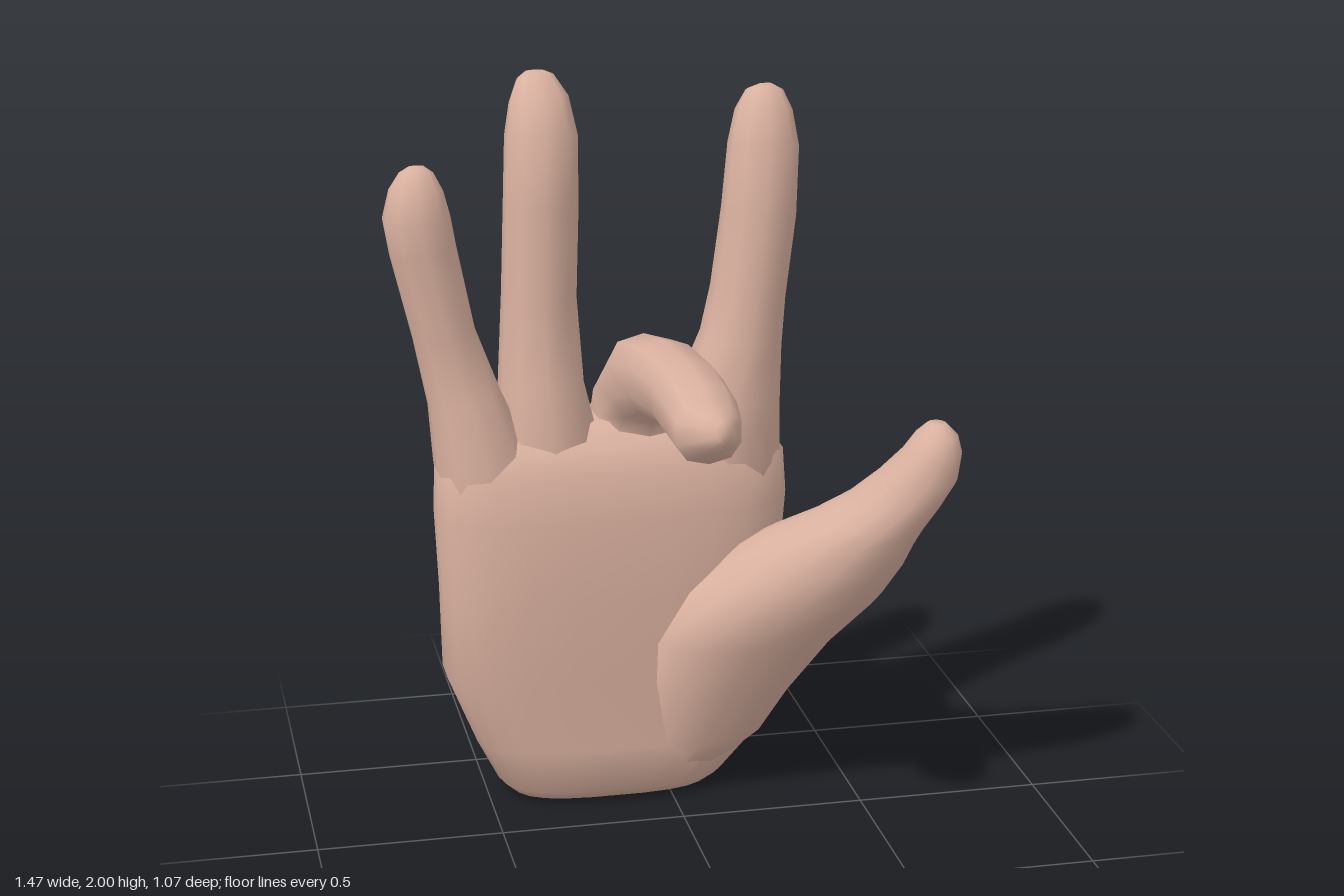
import * as THREE from 'three';
import { toCreasedNormals } from 'three/addons/utils/BufferGeometryUtils.js';

const SKIN = new THREE.MeshStandardMaterial({ color: 0xd9b09f });

// Skin a row of rounded cross-sections [x, y, z, halfWidth, halfDepth, shear].
// upright keeps every section horizontal; power squares the outline off;
// shear moves a section's points forward the further they lie to +x.
function loft(name, rows, { sides = 10, power = 2.4, upright = false } = {}) {
  const centres = rows.map(r => new THREE.Vector3(r[0], r[1], r[2]));
  const pos = [], index = [], last = rows.length - 1;
  const bend = v => Math.sign(v) * Math.abs(v) ** (2 / power);
  rows.forEach(([, , , w, depth, shear = 0], i) => {
    const t = upright ? new THREE.Vector3(0, 1, 0)
      : centres[Math.min(i + 1, last)].clone().sub(centres[Math.max(i - 1, 0)]).normalize();
    const s = new THREE.Vector3(1, 0, 0).addScaledVector(t, -t.x).normalize();
    const d = s.clone().cross(t);
    for (let j = 0; j < sides; j++) {
      const a = (j + 0.5) / sides * Math.PI * 2;
      const u = bend(Math.cos(a)) * w;
      const p = centres[i].clone().addScaledVector(s, u)
        .addScaledVector(d, shear * u - bend(Math.sin(a)) * depth);
      pos.push(p.x, p.y, p.z);
    }
  });
  const n = pos.length / 3;
  for (const c of [centres[0], centres[last]]) pos.push(c.x, c.y, c.z);
  for (let j = 0; j < sides; j++) {
    const k = (j + 1) % sides;
    for (let i = 0; i < last; i++) {
      const a = i * sides + j, b = i * sides + k;
      index.push(a, b, b + sides, a, b + sides, a + sides);
    }
    index.push(n, k, j, n + 1, last * sides + j, last * sides + k);
  }
  const geo = new THREE.BufferGeometry();
  geo.setAttribute('position', new THREE.Float32BufferAttribute(pos, 3));
  geo.setIndex(index);
  const mesh = new THREE.Mesh(toCreasedNormals(geo, 1.25), SKIN);
  mesh.name = name;
  return mesh;
}

export function createModel() {
  const hand = new THREE.Group();
  hand.name = 'hand';

  // Palm, from the cut wrist up to the knuckles, little-finger side forward
  hand.add(loft('palm', [
    [-0.15, 0.00, -0.33, 0.28, 0.155],
    [-0.15, 0.04, -0.33, 0.32, 0.205],
    [-0.12, 0.16, -0.33, 0.41, 0.205, -0.02],
    [-0.14, 0.36, -0.325, 0.47, 0.205, -0.05],
    [-0.14, 0.60, -0.32, 0.475, 0.20, -0.05],
    [-0.135, 0.82, -0.32, 0.49, 0.19, -0.06],
    [-0.135, 0.94, -0.33, 0.485, 0.175, -0.06],
    [-0.15, 1.01, -0.34, 0.45, 0.15, -0.06],
    [-0.15, 1.06, -0.355, 0.39, 0.09, -0.06],
  ], { sides: 24, power: 3, upright: true }));

  // Thumb, growing out of a thick mound that wraps the palm's edge
  hand.add(loft('thumb', [
    [0.00, 0.04, -0.325, 0.14, 0.17],
    [0.08, 0.16, -0.30, 0.215, 0.185],
    [0.13, 0.30, -0.26, 0.235, 0.20, 0.05],
    [0.19, 0.46, -0.205, 0.275, 0.205, 0.12],
    [0.30, 0.60, -0.13, 0.26, 0.20, 0.22],
    [0.38, 0.70, -0.075, 0.22, 0.18, 0.30],
    [0.44, 0.77, -0.03, 0.18, 0.155, 0.32],
    [0.505, 0.83, 0.01, 0.14, 0.135, 0.32],
    [0.565, 0.89, 0.04, 0.115, 0.12, 0.28],
    [0.62, 0.96, 0.065, 0.10, 0.105, 0.2],
    [0.655, 1.03, 0.08, 0.078, 0.09],
    [0.665, 1.08, 0.085, 0.055, 0.065],
    [0.665, 1.11, 0.085, 0.025, 0.03],
  ], { sides: 14, power: 2.2, upright: true }));

  // Index finger
  hand.add(loft('indexFinger', [
    [0.13, 0.70, -0.33, 0.16, 0.12],
    [0.165, 0.94, -0.335, 0.175, 0.145],
    [0.20, 1.10, -0.345, 0.14, 0.135],
    [0.235, 1.25, -0.355, 0.11, 0.12],
    [0.255, 1.38, -0.36, 0.10, 0.115],
    [0.285, 1.60, -0.365, 0.10, 0.10],
    [0.30, 1.78, -0.38, 0.095, 0.09],
    [0.305, 1.87, -0.40, 0.077, 0.07],
    [0.31, 1.92, -0.415, 0.05, 0.045],
    [0.31, 1.93, -0.42, 0.025, 0.025],
  ]));

  // Middle finger, folded straight forward at the knuckle
  hand.add(loft('middleFinger', [
    [-0.055, 0.80, -0.35, 0.14, 0.13],
    [-0.05, 0.98, -0.36, 0.14, 0.14],
    [-0.045, 1.09, -0.345, 0.13, 0.14],
    [-0.045, 1.18, -0.25, 0.115, 0.125],
    [-0.03, 1.22, -0.10, 0.105, 0.105],
    [-0.025, 1.25, 0.15, 0.10, 0.09],
    [-0.025, 1.242, 0.32, 0.095, 0.09],
    [-0.03, 1.235, 0.43, 0.087, 0.08],
    [-0.02, 1.255, 0.50, 0.05, 0.047],
    [-0.015, 1.265, 0.53, 0.02, 0.025],
  ]));

  // Ring finger
  hand.add(loft('ringFinger', [
    [-0.30, 0.76, -0.33, 0.13, 0.13],
    [-0.31, 1.00, -0.335, 0.14, 0.155],
    [-0.32, 1.16, -0.355, 0.115, 0.125],
    [-0.32, 1.40, -0.365, 0.10, 0.11],
    [-0.31, 1.65, -0.37, 0.10, 0.10],
    [-0.305, 1.83, -0.38, 0.097, 0.093],
    [-0.305, 1.92, -0.41, 0.08, 0.065],
    [-0.31, 1.975, -0.435, 0.05, 0.038],
    [-0.31, 1.99, -0.44, 0.025, 0.02],
  ]));

  // Little finger
  hand.add(loft('littleFinger', [
    [-0.46, 0.74, -0.30, 0.13, 0.13],
    [-0.495, 0.98, -0.305, 0.13, 0.145],
    [-0.535, 1.14, -0.325, 0.10, 0.11],
    [-0.585, 1.32, -0.325, 0.085, 0.10],
    [-0.635, 1.55, -0.32, 0.09, 0.095],
    [-0.65, 1.64, -0.315, 0.09, 0.09],
    [-0.648, 1.71, -0.32, 0.072, 0.07],
    [-0.645, 1.755, -0.33, 0.045, 0.045],
    [-0.645, 1.77, -0.335, 0.02, 0.02],
  ]));

  // Webs of skin closing the gaps at the finger roots
  for (const [x, top] of [[-0.425, 1.12], [0.06, 1.10]]) {
    hand.add(loft('fingerWeb', [
      [x, 0.85, -0.35, 0.08, 0.13],
      [x, 1.00, -0.36, 0.08, 0.11],
      [x, top - 0.04, -0.37, 0.07, 0.08],
      [x, top, -0.38, 0.05, 0.03],
    ], { upright: true }));
  }
  return hand;
}
